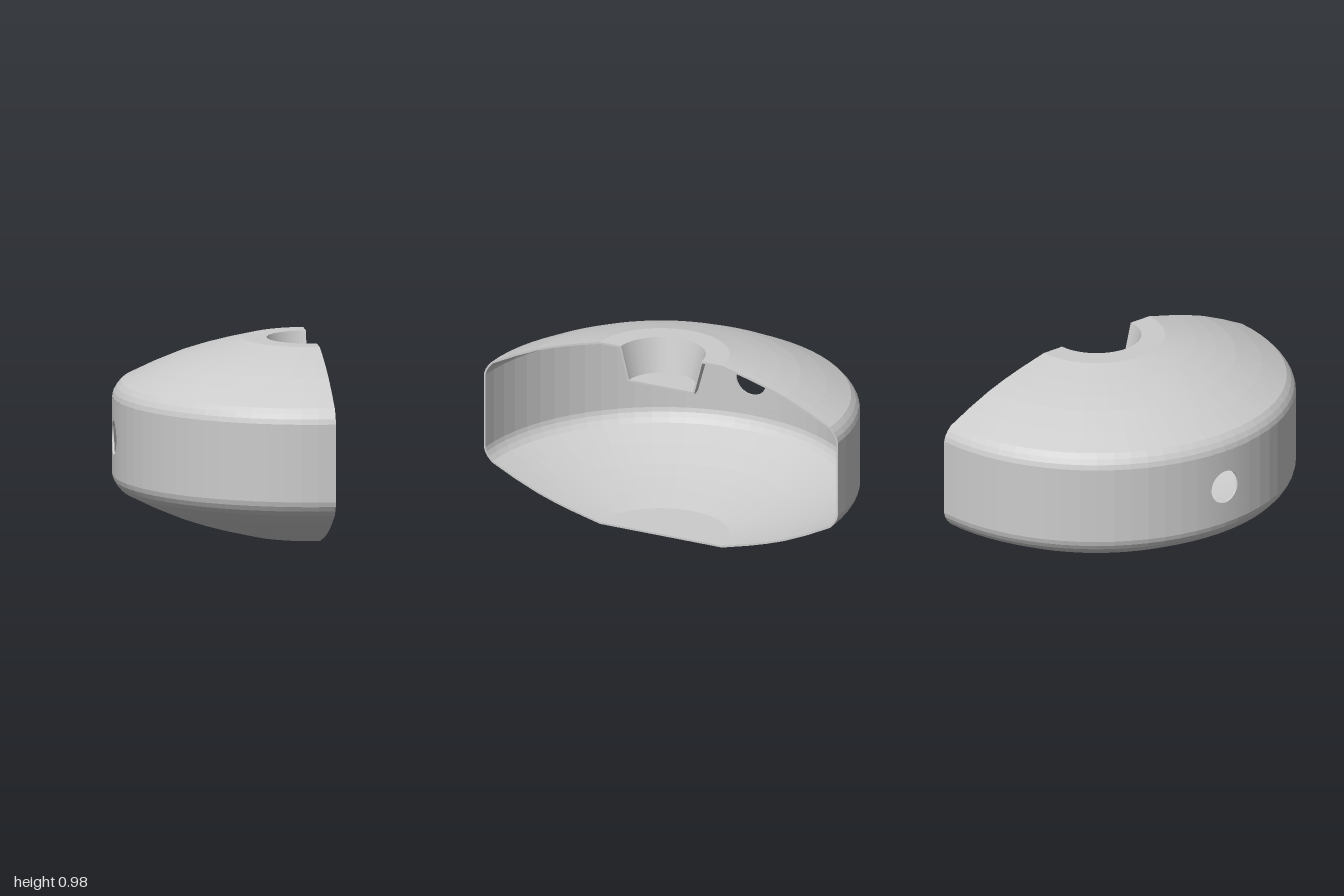
import * as THREE from 'three';

const THICK = 0.01, HEIGHT = 0.984, MID = HEIGHT / 2;
const WALL = 0.295;               // height where the upright wall starts
const SEG = Math.PI / 36;         // angular step of the revolution
const PATCH = 2 * SEG;            // half-angle of the wall panel around the hole
const HOLE = 0.086;

// Offsets an open profile inwards with mitred corners
function inset(pts, t) {
  const normal = (a, b) => new THREE.Vector2(a.y - b.y, b.x - a.x).normalize();
  return pts.map((p, i) => {
    const n1 = normal(pts[Math.max(i - 1, 0)], pts[Math.max(i, 1)]);
    const last = pts.length - 1;
    const n2 = normal(pts[Math.min(i, last - 1)], pts[Math.min(i + 1, last)]);
    return n1.clone().add(n2).multiplyScalar(t / (1 + n1.dot(n2))).add(p);
  });
}

// Wall panel with a round hole: loops run over the outside, through the hole and back inside
function holePanel() {
  const N = 64, STEPS = 4, loops = [];
  for (let k = 0; k <= STEPS; k++) loops.push([1, k / STEPS]);
  for (let k = STEPS; k >= 0; k--) loops.push([1 - THICK, k / STEPS]);
  const pos = [], index = [];
  loops.forEach(([r, f], j) => {
    for (let i = 0; i < N; i++) {
      const a = (i / N) * Math.PI * 2, c = Math.cos(a), s = Math.sin(a);
      const m = Math.max(Math.abs(c), Math.abs(s));
      const u = THREE.MathUtils.lerp((c / m) * PATCH, c * HOLE, f);
      const v = THREE.MathUtils.lerp((s / m) * (MID - WALL), s * HOLE, f);
      const phi = 1.5 * Math.PI + u;
      pos.push(r * Math.sin(phi), MID + v, r * Math.cos(phi));
      if (j < loops.length - 1) {
        const p = j * N + i, q = j * N + (i + 1) % N;
        index.push(p, q, p + N, q, q + N, p + N);
      }
    }
  });
  const geo = new THREE.BufferGeometry();
  geo.setAttribute('position', new THREE.Float32BufferAttribute(pos, 3));
  geo.setIndex(index);
  geo.computeVertexNormals();
  return geo;
}

export function createModel() {
  const group = new THREE.Group();
  const material = new THREE.MeshStandardMaterial({ color: 0xcccccc, flatShading: true });
  const add = (name, geo) => {
    const mesh = new THREE.Mesh(geo, material);
    mesh.name = name;
    mesh.position.x = 0.5;
    group.add(mesh);
    return mesh;
  };

  // Domed half profile (radius, height); the upper dome mirrors the lower one
  const dome = [[0.345, 0], [0.5, 0.039], [0.6, 0.068], [0.7, 0.102], [0.83, 0.158],
    [0.955, 0.22], [0.978, 0.245], [0.993, 0.27], [1, WALL]];
  const outer = [[0, 0], ...dome,
    ...dome.map(([r, y]) => [r, HEIGHT - y]).reverse(),
    [0.225, HEIGHT], [0.18, 0.81], [0, 0.81]].map(([r, y]) => new THREE.Vector2(r, y));
  const inner = inset(outer, THICK);

  // Closed wall sections below and above the upright wall
  const split = dome.length + 1;
  const lower = [...inner.slice(0, split).reverse(), ...outer.slice(0, split)];
  const upper = [...outer.slice(split), ...inner.slice(split).reverse()];
  const full = [...lower, ...upper, lower[0]];

  // Half revolution, leaving the wall open where the hole panel sits
  const start = Math.PI, mid = 1.5 * Math.PI, side = Math.PI / 2 - PATCH;
  const lathe = (pts, from, len) => new THREE.LatheGeometry(pts, Math.round(len / SEG), from, len);
  add('shellBack', lathe(full, start, side));
  add('shellFront', lathe(full, mid + PATCH, side));
  add('shellMiddleBottom', lathe(lower, mid - PATCH, 2 * PATCH));
  add('shellMiddleTop', lathe(upper, mid - PATCH, 2 * PATCH));
  add('wallPanelWithHole', holePanel());

  // Flat rims on the cut plane
  for (const s of [1, -1]) {
    const shape = new THREE.Shape([...outer, ...inner.slice().reverse()]
      .map((p) => new THREE.Vector2(p.x * s, p.y)));
    add(s > 0 ? 'cutRimBack' : 'cutRimFront', new THREE.ShapeGeometry(shape)).rotation.y = Math.PI / 2;
  }
  return group;
}
